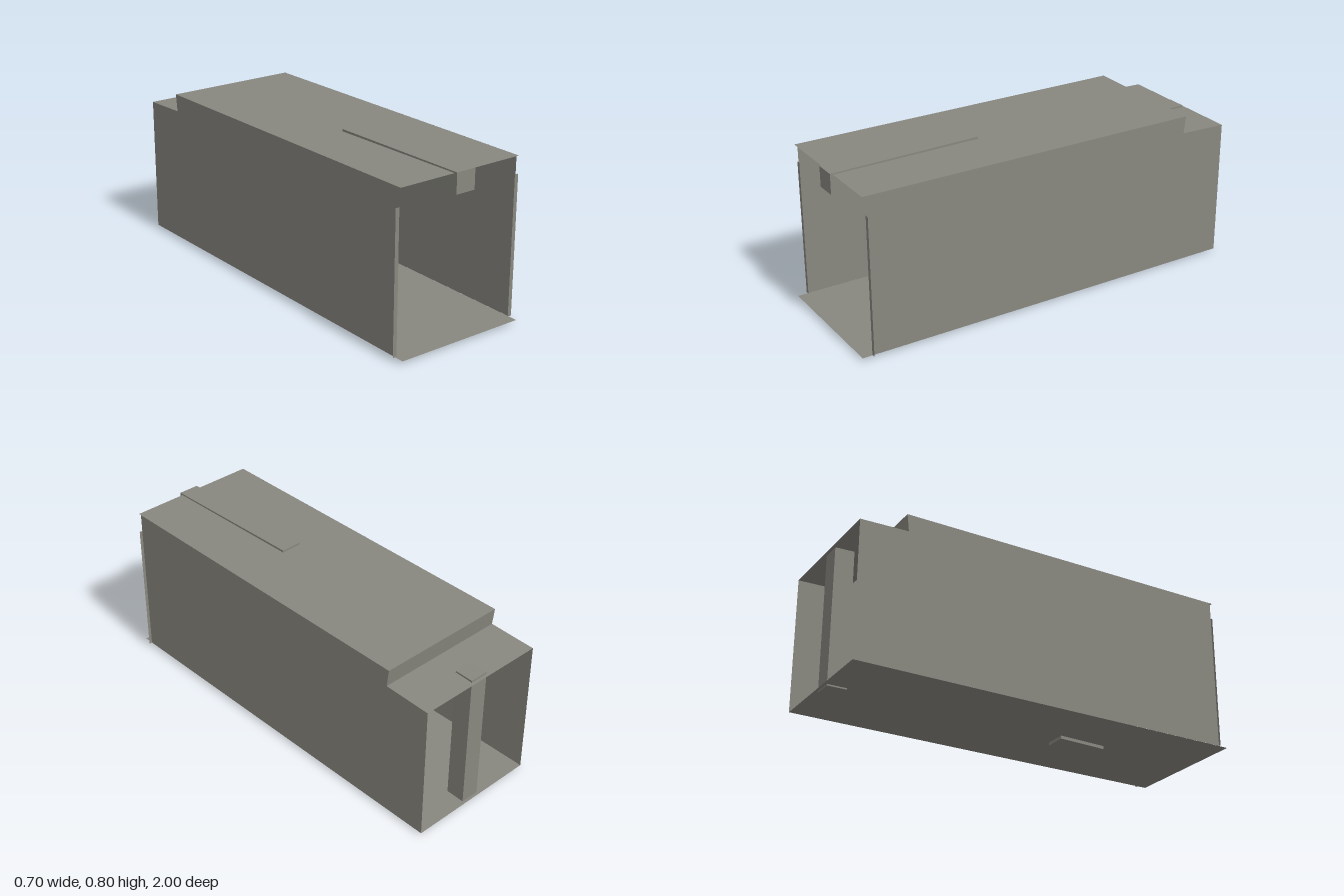
import * as THREE from 'three';

export function createModel() {
  const group = new THREE.Group();
  const material = new THREE.MeshStandardMaterial({ color: 0x88877f, side: THREE.DoubleSide });
  material.name = 'warm grey';

  const add = (name, geometry) => {
    const mesh = new THREE.Mesh(geometry, material);
    mesh.name = name;
    group.add(mesh);
    return mesh;
  };

  // Flat sheet spanning the width between two (z, y) points
  const left = 0.334, right = -0.338;
  const sheet = (name, z0, y0, z1, y1) => {
    const g = new THREE.PlaneGeometry(1, 1);
    const p = g.attributes.position;
    for (let i = 0; i < p.count; i++) {
      const t = p.getY(i) + 0.5;
      const x = p.getX(i) > 0 ? left : right;
      p.setXYZ(i, x, y0 + (y1 - y0) * t, z0 + (z1 - z0) * t);
    }
    g.computeVertexNormals();
    add(name, g);
  };
  sheet('floor', 1, 0.018, -1, 0.01);
  sheet('roof', 0.965, 0.793, -0.77, 0.783);
  sheet('roofStep', -0.77, 0.783, -0.76, 0.697);
  sheet('rearLedge', -0.76, 0.697, -1, 0.689);

  // Side walls, with the step cut out of the rear top corner
  const outline = [[0.95, 0.018], [0.95, 0.793], [-0.77, 0.783], [-0.76, 0.697], [-1, 0.689], [-1, 0.01]];
  const wallShape = new THREE.Shape(outline.map(([z, y]) => new THREE.Vector2(-z, y)));
  for (const [name, x] of [['leftWall', left], ['rightWall', right]]) {
    const g = new THREE.ShapeGeometry(wallShape);
    if (x < 0) g.scale(-1, 1, 1);
    g.rotateY(x < 0 ? -Math.PI / 2 : Math.PI / 2);
    add(name, g).position.x = x;
  }

  // Narrow lips beside the front opening
  for (const [name, s] of [['leftLip', 1], ['rightLip', -1]]) {
    add(name, new THREE.PlaneGeometry(0.02, 0.685)).position.set(s * 0.34, 0.36, 0.95);
  }

  // Solid bars, running slightly askew along z
  const bar = (name, width, y0, y1, z0, z1, xBack, xFront) => {
    const g = new THREE.BoxGeometry(width, y1 - y0, z1 - z0);
    const p = g.attributes.position;
    for (let i = 0; i < p.count; i++) {
      p.setX(i, p.getX(i) + (p.getZ(i) > 0 ? xFront : xBack));
    }
    g.translate(0, (y0 + y1) / 2, (z0 + z1) / 2);
    g.computeVertexNormals();
    add(name, g);
  };
  bar('roofBeam', 0.104, 0.7, 0.8, 0.22, 0.98, -0.005, 0.01);
  bar('middlePost', 0.108, 0, 0.7, 0.22, 0.47, -0.007, 0.004);
  bar('rearPost', 0.094, 0.003, 0.7, -0.985, -0.89, -0.001, -0.003);

  return group;
}
